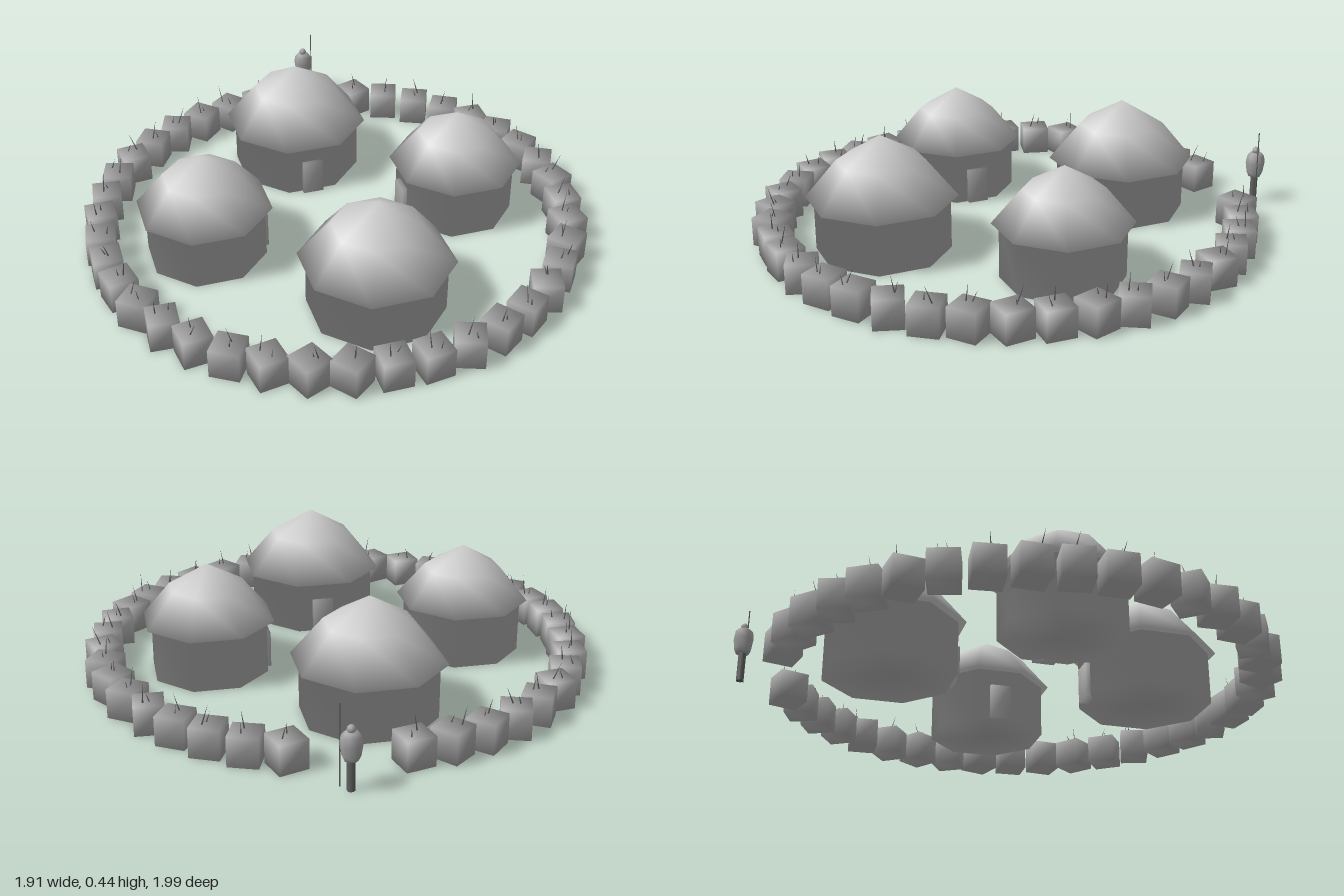
import * as THREE from 'three';
import { mergeGeometries, mergeVertices } from 'three/addons/utils/BufferGeometryUtils.js';

const shade = (color) => new THREE.MeshStandardMaterial({ color });
const thatch = shade(0xbcbcbc), clay = shade(0xb0b0b0), stone = shade(0xa4a4a4);
const cloth = shade(0xa0a0a0), dark = shade(0x606060);
const rad = THREE.MathUtils.degToRad;

// small seeded random numbers
let seed = 7;
const random = () => (seed = (seed * 16807) % 2147483647) / 2147483647;
const range = (a, b) => a + (b - a) * random();

function add(parent, name, geometry, material, x = 0, y = 0, z = 0) {
  const mesh = new THREE.Mesh(geometry, material);
  mesh.name = name;
  mesh.position.set(x, y, z);
  parent.add(mesh);
  return mesh;
}

// weld all corners so the normals run smoothly over every edge
function welded(geometry) {
  geometry.deleteAttribute('normal');
  geometry.deleteAttribute('uv');
  const result = mergeVertices(geometry);
  result.computeVertexNormals();
  return result;
}

// turned shape; points run from bottom to top
function turned(points, sides = 8) {
  return new THREE.LatheGeometry(points.map(([r, y]) => new THREE.Vector2(r, y)), sides);
}

// box whose normals are shared at its eight corners
function softBox(width, height, depth) {
  const box = new THREE.BoxGeometry(1, 1, 1);
  box.setAttribute('normal', box.attributes.position.clone());
  box.normalizeNormals();
  return box.scale(width, height, depth);
}

// eight-sided hut with a bent thatch roof; the door sits on one wall face
function hut(x, z, roofRadius, wallRadius, top, doorAngle) {
  const group = new THREE.Group();
  group.name = 'hut';
  group.position.set(x, 0, z);
  const eave = 0.205;

  // floor and wall, joined to a ceiling that faces down into the room
  add(group, 'wall', welded(mergeGeometries([
    turned([[0, 0], [wallRadius, 0], [wallRadius, eave]]),
    turned([[0, eave], [wallRadius, eave]]),
  ])), clay);
  add(group, 'roof', welded(turned([
    [0, eave],
    [roofRadius, eave],
    [roofRadius * 0.58, eave + (top - eave) * 0.6],
    [0, top],
  ])), thatch);

  const a = rad(doorAngle), d = wallRadius * Math.cos(Math.PI / 8);
  const door = add(group, 'door', softBox(0.08, 0.135, 0.04), stone,
    Math.sin(a) * d, 0.0675, Math.cos(a) * d);
  door.rotation.y = a;
  return group;
}

// fence block with one tall and one short thorny blade on top
function fenceBlock(x, z, turn) {
  const group = new THREE.Group();
  group.name = 'fenceBlock';
  group.position.set(x, 0, z);
  group.rotation.y = turn;
  add(group, 'block', softBox(0.108, 0.11, 0.108), stone, 0, 0.055, 0);
  for (const [low, high] of [[0.06, 0.085], [0.025, 0.045]]) {
    const height = range(low, high);
    const geometry = new THREE.ConeGeometry(0.003, height, 4).translate(0, height / 2, 0);
    const blade = add(group, 'thornBlade', geometry, dark, range(-0.025, 0.025), 0.108, range(-0.025, 0.025));
    blade.rotation.set(range(-0.35, 0.35), 0, range(-0.35, 0.35));
  }
  return group;
}

// standing guard with a spear at one side
function guard(x, z) {
  const group = new THREE.Group();
  group.name = 'guard';
  group.position.set(x, 0, z);
  add(group, 'legs', new THREE.CylinderGeometry(0.014, 0.014, 0.12, 8), dark, 0, 0.06, 0);
  add(group, 'cloak', welded(turned([
    [0, 0.108], [0.024, 0.108], [0.032, 0.125], [0.038, 0.165], [0.034, 0.192], [0.022, 0.205], [0, 0.208],
  ])), cloth);
  add(group, 'head', new THREE.SphereGeometry(0.015, 8, 6), cloth, 0, 0.215, 0);
  add(group, 'spear', new THREE.CylinderGeometry(0.0022, 0.0022, 0.29, 5), dark, 0.036, 0.155, 0);
  return group;
}

export function createModel() {
  const model = new THREE.Group();
  model.name = 'hutVillage';

  // four huts with doors towards the middle
  model.add(
    hut(-0.198, -0.416, 0.28, 0.25, 0.44, 22.5),
    hut(0.19, 0.494, 0.28, 0.25, 0.44, 202.5),
    hut(0.452, -0.152, 0.253, 0.225, 0.417, -67.5),
    hut(-0.46, 0.233, 0.253, 0.225, 0.417, 112.5),
  );

  // ring of fence blocks, clockwise from the back, with a gate gap at the end
  const turns = [
    40, 2, -2, -8, 20, -12, -32, -8, 40, 20, 28, -30, -14, 4, -30, -32, 2, 30, 22, -30,
    45, 32, -10, 30, 20, -16, 36, 22, 14, 24, 16, 6, 30, -8, 4, -22, -28, 36,
  ];
  turns.forEach((turn, i) => {
    const a = (i / 40) * Math.PI * 2;
    model.add(fenceBlock(Math.sin(a) * 0.883, 0.035 - Math.cos(a) * 0.883, rad(turn)));
  });

  // guard outside the gate
  model.add(guard(-0.23, -0.962));
  return model;
}
